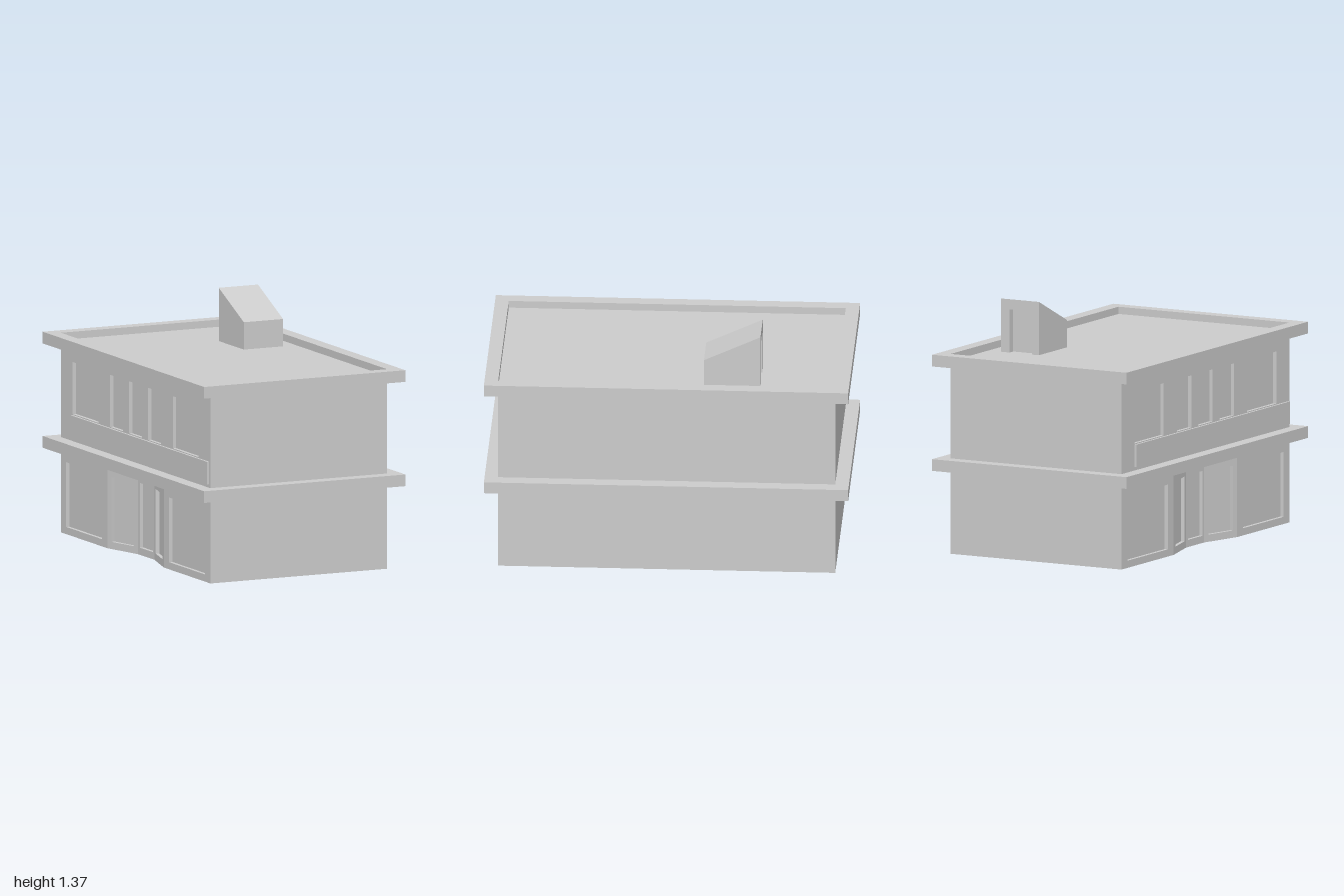
import * as THREE from 'three';

const grey = new THREE.MeshStandardMaterial({ color: 0xcccccc, flatShading: true });
const thin = new THREE.MeshStandardMaterial({ color: 0xcccccc, flatShading: true, side: THREE.DoubleSide });

const HX = 0.54, HZ = 0.925;      // half size of the walls
const OX = 0.615, OZ = 1;         // half size of the ledges
const FLOOR = 0.5, ROOF = 1.07;   // storey break and roof deck

function add(parent, name, geometry, material = grey) {
  const mesh = new THREE.Mesh(geometry, material);
  mesh.name = name;
  parent.add(mesh);
  return mesh;
}

function rect(Type, x0, y0, x1, y1) {
  return new Type([[x0, y0], [x1, y0], [x1, y1], [x0, y1]].map(p => new THREE.Vector2(...p)));
}

// Wall from a to b (x, z pairs) with windows [u0, v0, u1, v1] sunk into it
function wall(parent, name, a, b, y0, y1, windows = [], depth = 0.02) {
  const group = new THREE.Group();
  group.name = name;
  const dx = b[0] - a[0], dz = b[1] - a[1];
  group.position.set(a[0], 0, a[1]);
  group.rotation.y = Math.atan2(-dz, dx);
  const face = rect(THREE.Shape, 0, y0, Math.hypot(dx, dz), y1);
  for (const [u0, v0, u1, v1] of windows) {
    face.holes.push(rect(THREE.Path, u0, v0, u1, v1));
    // Box without its outer side: pane and reveals
    const box = new THREE.BoxGeometry(u1 - u0, v1 - v0, depth);
    const index = Array.from(box.index.array);
    index.splice(24, 6);
    box.setIndex(index);
    box.clearGroups();
    box.translate((u0 + u1) / 2, (v0 + v1) / 2, -depth / 2);
    add(group, 'window', box, thin);
  }
  add(group, 'wallFace', new THREE.ShapeGeometry(face), thin);
  parent.add(group);
}

// Rectangular ring lying flat between two heights
function ledge(parent, name, innerX, innerZ, y0, y1) {
  const shape = rect(THREE.Shape, -OX, -OZ, OX, OZ);
  shape.holes.push(rect(THREE.Path, -innerX, -innerZ, innerX, innerZ));
  const geometry = new THREE.ExtrudeGeometry(shape, { depth: y1 - y0, bevelEnabled: false });
  geometry.rotateX(-Math.PI / 2).translate(0, y0, 0);
  add(parent, name, geometry);
}

export function createModel() {
  const model = new THREE.Group();
  model.name = 'building';

  // Plain walls
  wall(model, 'frontWall', [-HX, HZ], [HX, HZ], 0, ROOF);
  wall(model, 'leftWall', [HX, HZ], [HX, -HZ], 0, ROOF);
  wall(model, 'backWall', [HX, -HZ], [-HX, -HZ], 0, ROOF);

  // Upper storey of the window side
  const spans = [[-0.78, -0.46], [-0.315, -0.155], [-0.08, 0.08], [0.155, 0.315], [0.46, 0.78]];
  wall(model, 'upperFacade', [-HX, -HZ], [-HX, HZ], FLOOR, ROOF,
    spans.map(([z0, z1]) => [z0 + HZ, 0.68, z1 + HZ, 0.97]));

  // Ground storey of the window side, bent inward around the entrance
  const bend = [[-HX, -HZ], [-HX, -0.35], [-0.475, -0.1], [-0.475, 0.1], [-HX, 0.35], [-HX, HZ]];
  const margins = [0.065, 0.035, 0.02, 0.035, 0.065];
  margins.forEach((m, i) => {
    const a = bend[i], b = bend[i + 1];
    const length = Math.hypot(b[0] - a[0], b[1] - a[1]);
    wall(model, 'shopFacade', a, b, 0, FLOOR, [[m, 0.04, length - m, 0.4]]);
  });

  // Band under the upper windows
  add(model, 'signBand', new THREE.BoxGeometry(0.023, 0.125, 1.69)).position.set(-0.5415, 0.6125, 0.065);

  // Ledges and roof deck
  ledge(model, 'floorLedge', 0.465, 0.85, 0.465, 0.53);
  ledge(model, 'roofEdge', HX, HZ, 1.045, 1.11);
  const deck = new THREE.PlaneGeometry(2 * HX, 2 * HZ).rotateX(-Math.PI / 2);
  add(model, 'roofDeck', deck, thin).position.y = ROOF;

  // Stair house with a sloping top
  const stairHouse = new THREE.Group();
  stairHouse.name = 'stairHouse';
  model.add(stairHouse);
  const slope = z => 1.222 + (-0.2 - z) * 0.465;
  const x0 = 0.22, x1 = 0.46, zDoor = -0.47, zBack = -0.51;
  const side = new THREE.Shape([[0.2, ROOF], [-zDoor, ROOF], [-zDoor, slope(zDoor)], [0.2, slope(-0.2)]]
    .map(p => new THREE.Vector2(...p)));
  const body = new THREE.ExtrudeGeometry(side, { depth: x1 - x0, bevelEnabled: false });
  body.rotateY(Math.PI / 2).translate(x0, 0, 0);
  add(stairHouse, 'stairHouseBody', body);

  // Door frame, its top following the slope
  const frame = new THREE.Shape([[x0, ROOF], [0.265, ROOF], [0.265, 1.31], [0.405, 1.31],
    [0.405, ROOF], [x1, ROOF], [x1, 1.36], [x0, 1.36]].map(p => new THREE.Vector2(...p)));
  const door = new THREE.ExtrudeGeometry(frame, { depth: zDoor - zBack, bevelEnabled: false });
  door.translate(0, 0, zBack);
  const p = door.attributes.position;
  for (let i = 0; i < p.count; i++) if (p.getY(i) > 1.33) p.setY(i, slope(p.getZ(i)));
  door.computeVertexNormals();
  add(stairHouse, 'doorFrame', door);

  return model;
}
